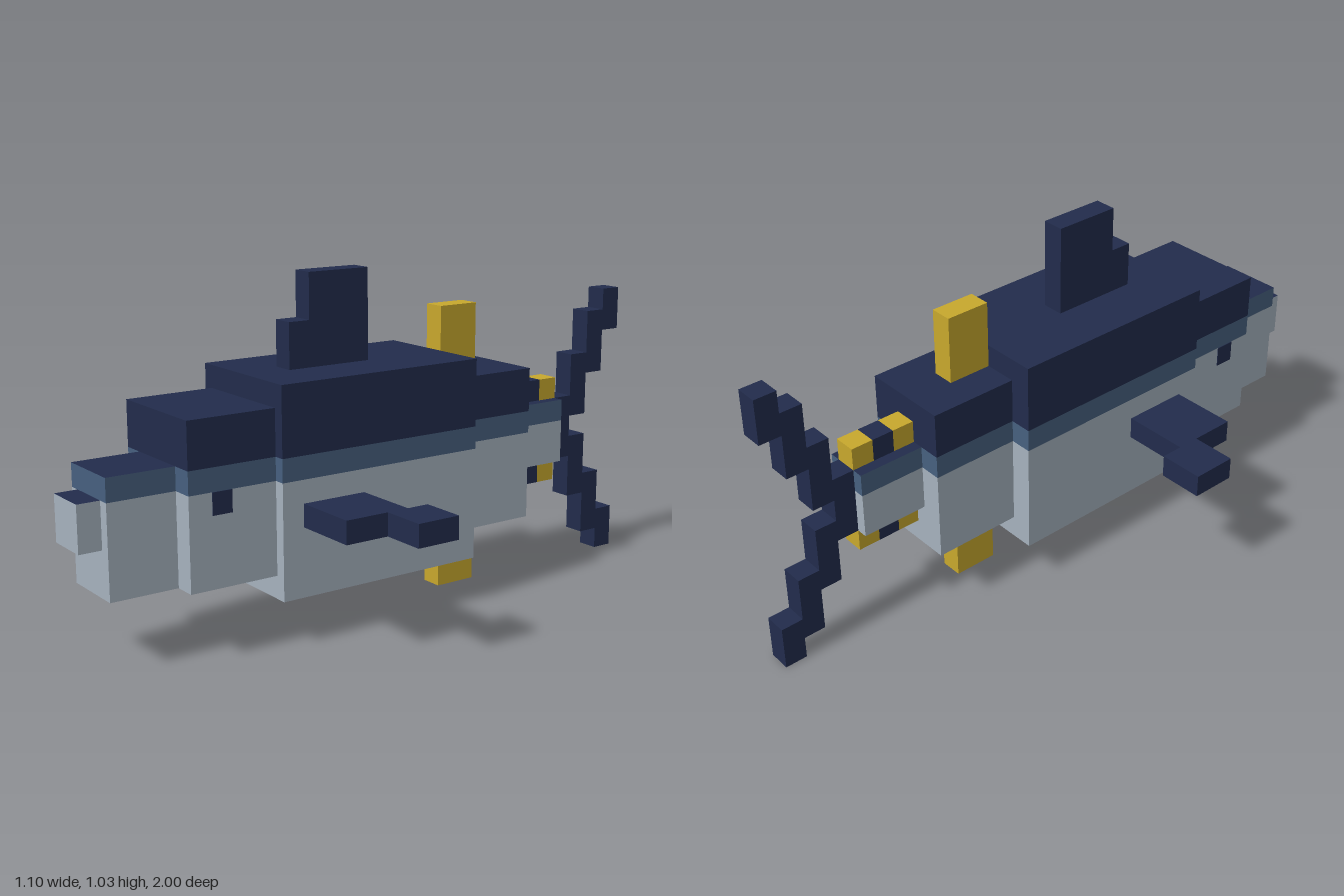
import * as THREE from 'three';

const U = 2 / 29; // one block of the grid

const mat = (name, color) => {
  const m = new THREE.MeshStandardMaterial({ color });
  m.name = name;
  return m;
};

export function createModel() {
  const navy = mat('navy', 0x222c4c);
  const blue = mat('steelBlue', 0x47607f);
  const grey = mat('paleGrey', 0xa6b2be);
  const gold = mat('gold', 0xc8a82d);

  const fish = new THREE.Group();
  fish.name = 'fish';

  const part = (name, parent = fish) => {
    const g = new THREE.Group();
    g.name = name;
    parent.add(g);
    return g;
  };

  // Box from ranges in blocks; z is counted backwards from the nose tip
  const block = (parent, name, material, [x0, x1], [y0, y1], [z0, z1]) => {
    const geo = new THREE.BoxGeometry((x1 - x0) * U, (y1 - y0) * U, (z1 - z0) * U);
    const mesh = new THREE.Mesh(geo, material);
    mesh.position.set((x0 + x1) / 2 * U, (y0 + y1) / 2 * U, 1 - (z0 + z1) / 2 * U);
    mesh.name = name;
    parent.add(mesh);
  };

  const navyTopped = (m) => [m, m, navy, m, m, m];

  // Body segments: name, half width, bottom, top, front, back
  const segments = [
    ['snout', 1, 5, 7, 0, 1],
    ['head', 1.5, 3, 8, 1, 4],
    ['shoulders', 2.5, 3, 10, 4, 8],
    ['midBody', 3, 2, 11, 8, 18],
    ['rearBody', 2, 3, 10, 18, 22],
    ['tailStalk', 1, 5, 8, 22, 25],
  ];
  for (const [name, w, y0, y1, z0, z1] of segments) {
    const g = part(name);
    const x = [-w, w], z = [z0, z1];
    block(g, 'belly', y1 === 7 ? navyTopped(grey) : grey, x, [y0, 7], z);
    if (y1 > 7) block(g, 'sideStripe', y1 === 8 ? navyTopped(blue) : blue, x, [7, 8], z);
    if (y1 > 8) block(g, 'back', navy, x, [8, y1], z);
  }

  const thin = [-0.5, 0.5];

  // Dorsal fin
  const dorsal = part('dorsalFin');
  block(dorsal, 'dorsalStep', navy, thin, [11, 13], [10, 11]);
  block(dorsal, 'dorsalBlade', navy, thin, [11, 15], [11, 14]);

  // Golden fins above and below the rear body
  block(fish, 'secondDorsalFin', gold, thin, [10, 13], [18, 20]);
  block(fish, 'analFin', gold, thin, [0, 3], [18, 20]);

  // Alternating finlets along the tail stalk
  const finlets = part('finlets');
  [gold, navy, gold].forEach((m, i) => {
    block(finlets, 'upperFinlet', m, thin, [8, 9], [22 + i, 23 + i]);
    block(finlets, 'lowerFinlet', m, thin, [4, 5], [22 + i, 23 + i]);
  });

  // Forked tail fin, stepped outwards
  const tail = part('tailFin');
  block(tail, 'tailRoot', navy, thin, [5, 8], [25, 26]);
  for (const [y0, y1, z] of [[7, 10, 26], [9, 12, 27], [11, 13, 28]]) {
    block(tail, 'upperLobe', navy, thin, [y0, y1], [z, z + 1]);
    block(tail, 'lowerLobe', navy, thin, [13 - y1, 13 - y0], [z, z + 1]);
  }

  // Pectoral fins and eyes on both sides
  for (const [side, s] of [['left', 1], ['right', -1]]) {
    const span = (a, b) => (s > 0 ? [a, b] : [-b, -a]);
    const fin = part(side + 'PectoralFin');
    block(fin, 'finBase', navy, span(3, 6), [5, 6], [9, 12]);
    block(fin, 'finTip', navy, span(6, 8), [5, 6], [11, 13]);
    block(fish, side + 'Eye', navy, span(2.5, 2.53), [6.05, 7], [5.05, 5.95]);
  }

  return fish;
}
